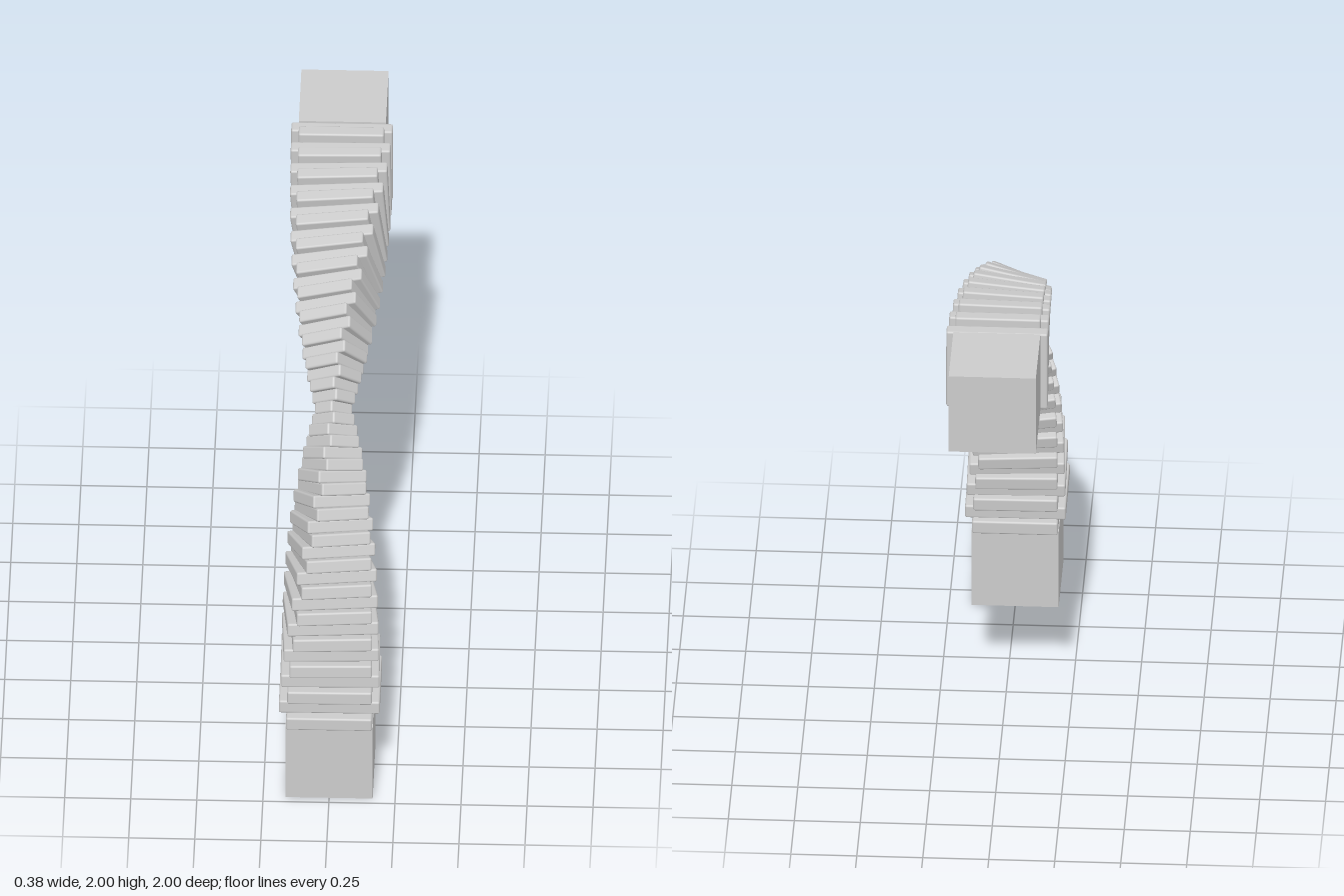
import * as THREE from 'three';
import { RoundedBoxGeometry } from 'three/addons/geometries/RoundedBoxGeometry.js';

const BLOCK = 0.33; // end blocks and narrow side of a plate
const WIDE = 0.385; // wide side of a plate
const PLATES = 51;
const AXIS = 0.805;
const HANDLE = 0.95;

export function createModel() {
  const model = new THREE.Group();
  const material = new THREE.MeshStandardMaterial({ color: 0xcccccc });

  // End blocks: one standing on the ground, one at the top of the bend
  const block = new THREE.BoxGeometry(BLOCK, BLOCK, BLOCK);
  const baseBlock = new THREE.Mesh(block, material);
  baseBlock.name = 'baseBlock';
  baseBlock.position.set(0, BLOCK / 2, AXIS);
  const endBlock = new THREE.Mesh(block, material);
  endBlock.name = 'endBlock';
  endBlock.position.set(0, 1 + AXIS, -1 + BLOCK / 2);
  model.add(baseBlock, endBlock);

  // Spine of the arm, rising from the base and bending to the back
  const spine = new THREE.CubicBezierCurve3(
    new THREE.Vector3(0, BLOCK, AXIS),
    new THREE.Vector3(0, BLOCK + HANDLE, AXIS),
    new THREE.Vector3(0, 1 + AXIS, -1 + BLOCK + HANDLE),
    new THREE.Vector3(0, 1 + AXIS, -1 + BLOCK)
  );

  // Stacked plates, wide in alternate directions, twisting a quarter turn
  // and shrinking towards the middle of the arm
  const arm = new THREE.Group();
  arm.name = 'twistedArm';
  const side = new THREE.Vector3(1, 0, 0);
  for (let i = 0; i < PLATES; i++) {
    const t = (i + 0.5) / PLATES;
    const nearness = 1 - Math.abs(2 * t - 1); // 0 at the ends, 1 in the middle
    const scale = 1 - 0.71 * Math.pow(nearness, 1.6);
    const thickness = 0.041 + 0.014 * scale;
    const [w, d] = i % 2 ? [WIDE, BLOCK - 0.004] : [BLOCK - 0.004, WIDE];
    const plate = new THREE.Mesh(
      new RoundedBoxGeometry(w * scale, thickness, d * scale, 2, 0.008),
      material
    );
    plate.name = 'armPlate';
    const tangent = spine.getTangent(t);
    const outward = new THREE.Vector3().crossVectors(side, tangent);
    plate.quaternion.setFromRotationMatrix(new THREE.Matrix4().makeBasis(side, tangent, outward));
    plate.rotateY((Math.PI / 2) * THREE.MathUtils.smoothstep(t, 0, 1));
    plate.position.copy(spine.getPoint(t));
    arm.add(plate);
  }
  model.add(arm);
  return model;
}
